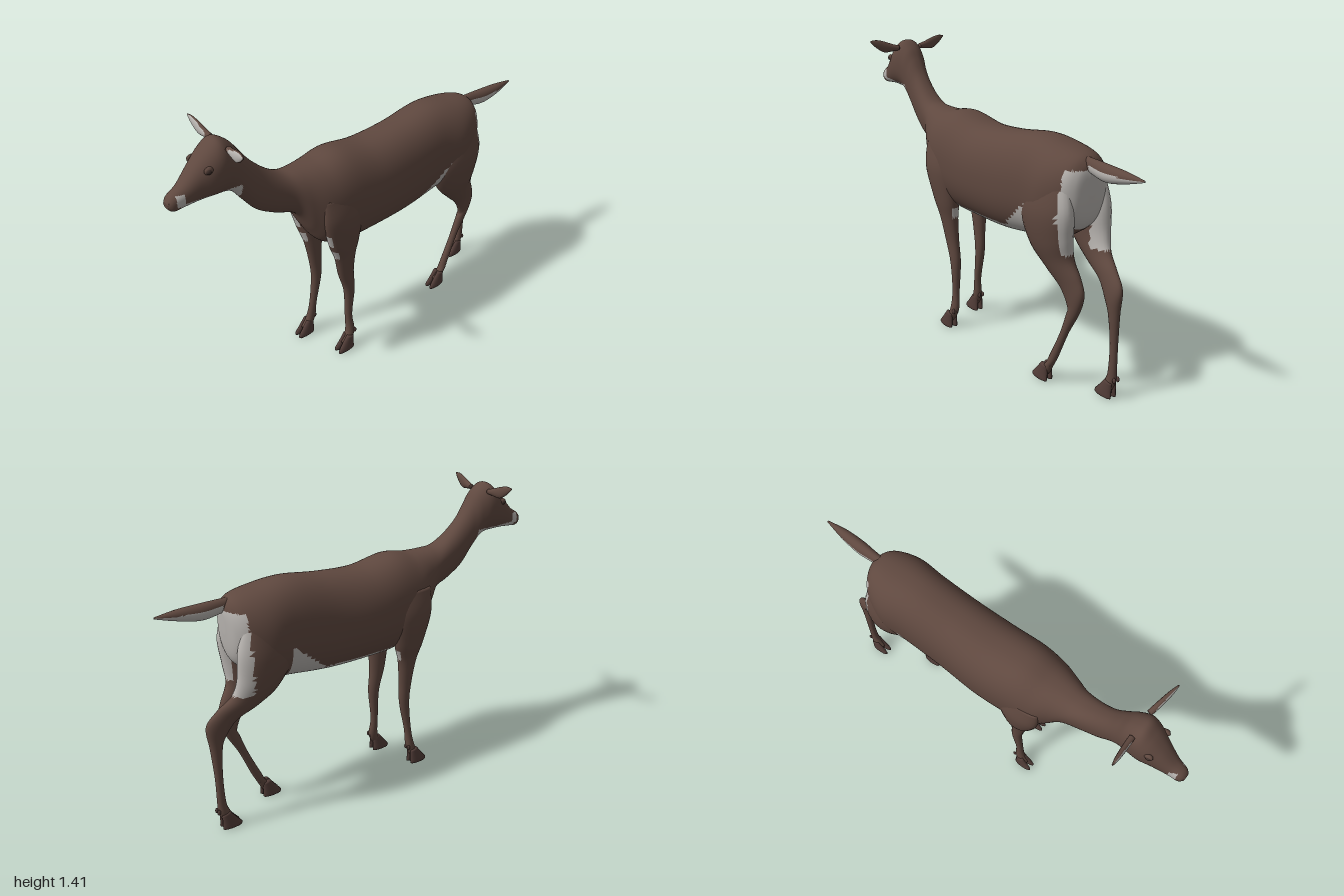
import * as THREE from 'three';

const mat = (name, color) => {
  const m = new THREE.MeshStandardMaterial({ color });
  m.name = name;
  return m;
};
const coat = mat('brown coat', 0x5f483f);
const pale = mat('pale fur', 0xb8b4b0);
const horn = mat('hoof brown', 0x523d38);
const dark = mat('dark eye', 0x40302b);

// Smooth interpolation through the rings
function spline(rings, steps) {
  const out = [];
  const last = rings.length - 1;
  for (let i = 0; i < last; i++) {
    const a = rings[Math.max(i - 1, 0)], b = rings[i], c = rings[i + 1], d = rings[Math.min(i + 2, last)];
    for (let s = 0; s < steps; s++) {
      const t = s / steps;
      out.push(b.map((v, k) => v + 0.5 * t * (c[k] - a[k]
        + t * (2 * a[k] - 5 * v + 4 * c[k] - d[k] + t * (3 * (v - c[k]) + d[k] - a[k])))));
    }
  }
  out.push(rings[last]);
  return out;
}

// Closed skin over rings [zA, yA, zB, yB, halfWidth, centreX]; isPale picks the pale faces
function loft(name, rings, { steps = 6, sides = 28, power = 2, isPale = null, main = coat } = {}) {
  const rows = spline(rings, steps), pos = [], faces = [];
  const bend = (v) => Math.sign(v) * Math.abs(v) ** (2 / power);
  for (const [zA, yA, zB, yB, w, cx] of rows) {
    for (let j = 0; j < sides; j++) {
      const t = (j / sides) * Math.PI * 2, c = bend(Math.cos(t)) / 2;
      pos.push(cx + Math.max(w, 0.001) * bend(Math.sin(t)), (yA + yB) / 2 + c * (yA - yB), (zA + zB) / 2 + c * (zA - zB));
    }
  }
  for (let i = 0; i < rows.length - 1; i++) {
    for (let j = 0; j < sides; j++) {
      const k = (j + 1) % sides, a = i * sides + j, b = i * sides + k;
      faces.push([a, b, a + sides], [b, b + sides, a + sides]);
    }
  }
  // End caps
  for (const [row, flip] of [[0, true], [rows.length - 1, false]]) {
    const [zA, yA, zB, yB, , cx] = rows[row];
    const mid = pos.length / 3, o = row * sides;
    pos.push(cx, (yA + yB) / 2, (zA + zB) / 2);
    for (let j = 0; j < sides; j++) {
      const k = (j + 1) % sides;
      faces.push(flip ? [mid, o + k, o + j] : [mid, o + j, o + k]);
    }
  }
  // Turn all faces outwards
  const P = (i) => new THREE.Vector3(pos[3 * i], pos[3 * i + 1], pos[3 * i + 2]);
  let volume = 0;
  for (const f of faces) volume += P(f[0]).dot(P(f[1]).cross(P(f[2])));
  if (volume < 0) faces.forEach((f) => f.reverse());
  // Sort faces by colour
  const plain = [], light = [];
  for (const f of faces) {
    const [a, b, c] = f.map(P);
    const n = b.clone().sub(a).cross(c.clone().sub(a)).normalize();
    const m = a.add(b).add(c).divideScalar(3);
    (isPale && isPale(m, n) ? light : plain).push(...f);
  }
  const g = new THREE.BufferGeometry();
  g.setAttribute('position', new THREE.Float32BufferAttribute(pos, 3));
  g.setIndex([...plain, ...light]);
  g.addGroup(0, plain.length, 0);
  g.addGroup(plain.length, light.length, 1);
  g.computeVertexNormals();
  const mesh = new THREE.Mesh(g, [main, pale]);
  mesh.name = name;
  return mesh;
}

function ball(name, material, r, p, s = [1, 1, 1]) {
  const m = new THREE.Mesh(new THREE.SphereGeometry(r, 16, 12), material);
  m.name = name;
  m.position.set(...p);
  m.scale.set(...s);
  return m;
}

// Two toes and two dewclaws
function foot(x, z) {
  const g = new THREE.Group();
  g.name = 'foot';
  for (const s of [-1, 1]) {
    const c = x + s * 0.013;
    g.add(loft('hoof', [
      [z - 0.005, 0.09, z - 0.045, 0.08, 0.012, c],
      [z + 0.025, 0.05, z - 0.045, 0.035, 0.015, c + s * 0.001],
      [z + 0.052, 0.016, z - 0.046, 0.008, 0.015, c + s * 0.003],
      [z + 0.048, 0.002, z - 0.04, 0.002, 0.011, c + s * 0.003]], { sides: 14, steps: 4, main: horn }));
    g.add(ball('dewclaw', horn, 0.009, [x + s * 0.011, 0.1, z - 0.058], [0.8, 1.5, 1]));
  }
  return g;
}

export function createModel() {
  const deer = new THREE.Group();
  deer.name = 'deer';
  const rump = (p) => p.z < -0.645 && p.y > 0.67 && p.y < 1.04;

  // Trunk, neck and head in one skin
  deer.add(loft('body', [
    [-0.705, 1.03, -0.7, 0.93, 0.02, 0.02],
    [-0.69, 1.07, -0.68, 0.81, 0.085, 0.02],
    [-0.65, 1.1, -0.62, 0.745, 0.135, 0.018],
    [-0.55, 1.12, -0.52, 0.69, 0.17, 0.015],
    [-0.4, 1.135, -0.4, 0.67, 0.162, 0.013],
    [-0.2, 1.11, -0.2, 0.645, 0.163, 0.018],
    [0, 1.1, 0, 0.645, 0.172, 0.018],
    [0.18, 1.13, 0.16, 0.65, 0.168, 0.02],
    [0.3, 1.115, 0.29, 0.685, 0.152, 0.02],
    [0.4, 1.115, 0.355, 0.775, 0.115, 0.018],
    [0.47, 1.125, 0.415, 0.89, 0.085, 0.012],
    [0.54, 1.17, 0.52, 0.94, 0.068, 0.008],
    [0.61, 1.24, 0.6, 0.99, 0.06, 0.002],
    [0.66, 1.31, 0.66, 1.065, 0.062, 0],
    [0.7, 1.365, 0.705, 1.125, 0.072, -0.003],
    [0.755, 1.4, 0.745, 1.15, 0.083, -0.005],
    [0.805, 1.37, 0.8, 1.155, 0.08, -0.008],
    [0.865, 1.315, 0.86, 1.155, 0.06, -0.01],
    [0.93, 1.25, 0.93, 1.15, 0.041, -0.011],
    [0.98, 1.218, 0.975, 1.148, 0.033, -0.012],
    [0.998, 1.195, 0.995, 1.165, 0.018, -0.012]], {
    steps: 8, sides: 72, power: 2.25,
    isPale: (p) => rump(p)
      || (p.z > -0.45 && p.z < 0.14 && p.y < 0.69 + Math.max(0, -0.25 - p.z) * 0.85)
      || (p.z > 0.685 && p.z < 0.95 && p.y < 1.178)
      || (p.z > 0.93 && p.z < 0.965 && p.y > 1.17 && p.y < 1.222),
  }));

  // Tail, pale below
  deer.add(loft('tail', [
    [-0.65, 1.09, -0.65, 1.04, 0.02, 0.025],
    [-0.72, 1.088, -0.72, 1.02, 0.025, 0.028],
    [-0.8, 1.085, -0.8, 1.01, 0.03, 0.032],
    [-0.9, 1.08, -0.9, 1.03, 0.023, 0.036],
    [-0.998, 1.068, -0.998, 1.06, 0.004, 0.037]], { isPale: (p, n) => n.y < 0.1 && p.z < -0.7 }));

  // Front legs
  const elbow = (p, n) => (p.y > 0.61 && p.y < 0.66 && (n.z > 0.6 || n.z < -0.8))
    || (p.y > 0.7 && p.y < 0.765 && n.z > 0.75);
  deer.add(loft('frontLeftLeg', [
    [0.34, 0.97, 0.14, 0.97, 0.025, 0.145],
    [0.34, 0.85, 0.125, 0.85, 0.045, 0.15],
    [0.3, 0.7, 0.13, 0.7, 0.05, 0.13],
    [0.262, 0.6, 0.145, 0.6, 0.037, 0.122],
    [0.235, 0.48, 0.148, 0.48, 0.028, 0.113],
    [0.2, 0.36, 0.14, 0.36, 0.024, 0.11],
    [0.193, 0.2, 0.155, 0.2, 0.018, 0.108],
    [0.2, 0.1, 0.15, 0.1, 0.022, 0.118],
    [0.235, 0.05, 0.18, 0.04, 0.022, 0.125]], { isPale: elbow }), foot(0.125, 0.215));
  deer.add(loft('frontRightLeg', [
    [0.34, 0.97, 0.14, 0.97, 0.025, -0.11],
    [0.345, 0.85, 0.13, 0.85, 0.045, -0.115],
    [0.315, 0.7, 0.15, 0.7, 0.05, -0.095],
    [0.285, 0.6, 0.18, 0.6, 0.037, -0.083],
    [0.262, 0.48, 0.19, 0.48, 0.027, -0.08],
    [0.25, 0.36, 0.195, 0.36, 0.023, -0.08],
    [0.265, 0.2, 0.228, 0.2, 0.018, -0.082],
    [0.285, 0.1, 0.235, 0.1, 0.021, -0.09],
    [0.315, 0.05, 0.262, 0.04, 0.022, -0.096]], { isPale: elbow }), foot(-0.096, 0.295));

  // Hind legs, the right one stepping back
  deer.add(loft('hindLeftLeg', [
    [-0.42, 0.99, -0.65, 1.01, 0.045, 0.115],
    [-0.385, 0.82, -0.685, 0.87, 0.072, 0.12],
    [-0.43, 0.68, -0.675, 0.74, 0.067, 0.11],
    [-0.52, 0.58, -0.67, 0.65, 0.05, 0.095],
    [-0.6, 0.5, -0.71, 0.57, 0.034, 0.083],
    [-0.64, 0.42, -0.73, 0.5, 0.026, 0.078],
    [-0.63, 0.38, -0.705, 0.41, 0.022, 0.076],
    [-0.59, 0.27, -0.64, 0.29, 0.017, 0.075],
    [-0.53, 0.14, -0.58, 0.15, 0.018, 0.077],
    [-0.505, 0.09, -0.555, 0.1, 0.02, 0.079],
    [-0.465, 0.05, -0.525, 0.04, 0.02, 0.079]], { isPale: rump }), foot(0.079, -0.482));
  deer.add(loft('hindRightLeg', [
    [-0.44, 0.99, -0.65, 1.01, 0.045, -0.08],
    [-0.42, 0.82, -0.69, 0.87, 0.07, -0.085],
    [-0.5, 0.68, -0.7, 0.745, 0.06, -0.083],
    [-0.6, 0.6, -0.725, 0.665, 0.043, -0.068],
    [-0.7, 0.54, -0.79, 0.605, 0.03, -0.047],
    [-0.755, 0.46, -0.842, 0.535, 0.026, -0.034],
    [-0.775, 0.4, -0.832, 0.42, 0.022, -0.036],
    [-0.785, 0.27, -0.823, 0.27, 0.017, -0.043],
    [-0.78, 0.14, -0.822, 0.14, 0.018, -0.045],
    [-0.765, 0.09, -0.82, 0.09, 0.02, -0.047],
    [-0.742, 0.05, -0.8, 0.04, 0.02, -0.047]], { isPale: rump }), foot(-0.047, -0.765));

  for (const s of [-1, 1]) {
    const side = s > 0 ? 'left' : 'right';
    // Ear, pale on its front face
    const ear = loft(side + 'Ear', [
      [0, 0.012, 0, -0.012, 0.013, 0],
      [0.035, 0.021, 0.035, -0.016, 0.013, 0],
      [0.08, 0.037, 0.08, -0.019, 0.012, 0],
      [0.12, 0.046, 0.12, 0.004, 0.009, 0],
      [0.152, 0.043, 0.152, 0.035, 0.003, 0]], { isPale: (p, n) => s * n.x < -0.8 && p.z > 0.02 });
    ear.position.set(s * 0.062 - 0.002, 1.365, 0.735);
    ear.rotation.y = s * (Math.PI / 2 - (s > 0 ? 0.2 : 0.03));
    deer.add(ear);
    // Eye with lid, and nostril
    deer.add(ball(side + 'Eyelid', coat, 0.02, [s * 0.063 - 0.008, 1.302, 0.828], [0.6, 0.85, 1.1]));
    deer.add(ball(side + 'Eye', dark, 0.014, [s * 0.068 - 0.008, 1.301, 0.832], [0.7, 0.85, 1]));
    deer.add(ball(side + 'Nostril', dark, 0.007, [s * 0.017 - 0.012, 1.193, 0.989], [0.8, 1, 0.8]));
  }
  return deer;
}
